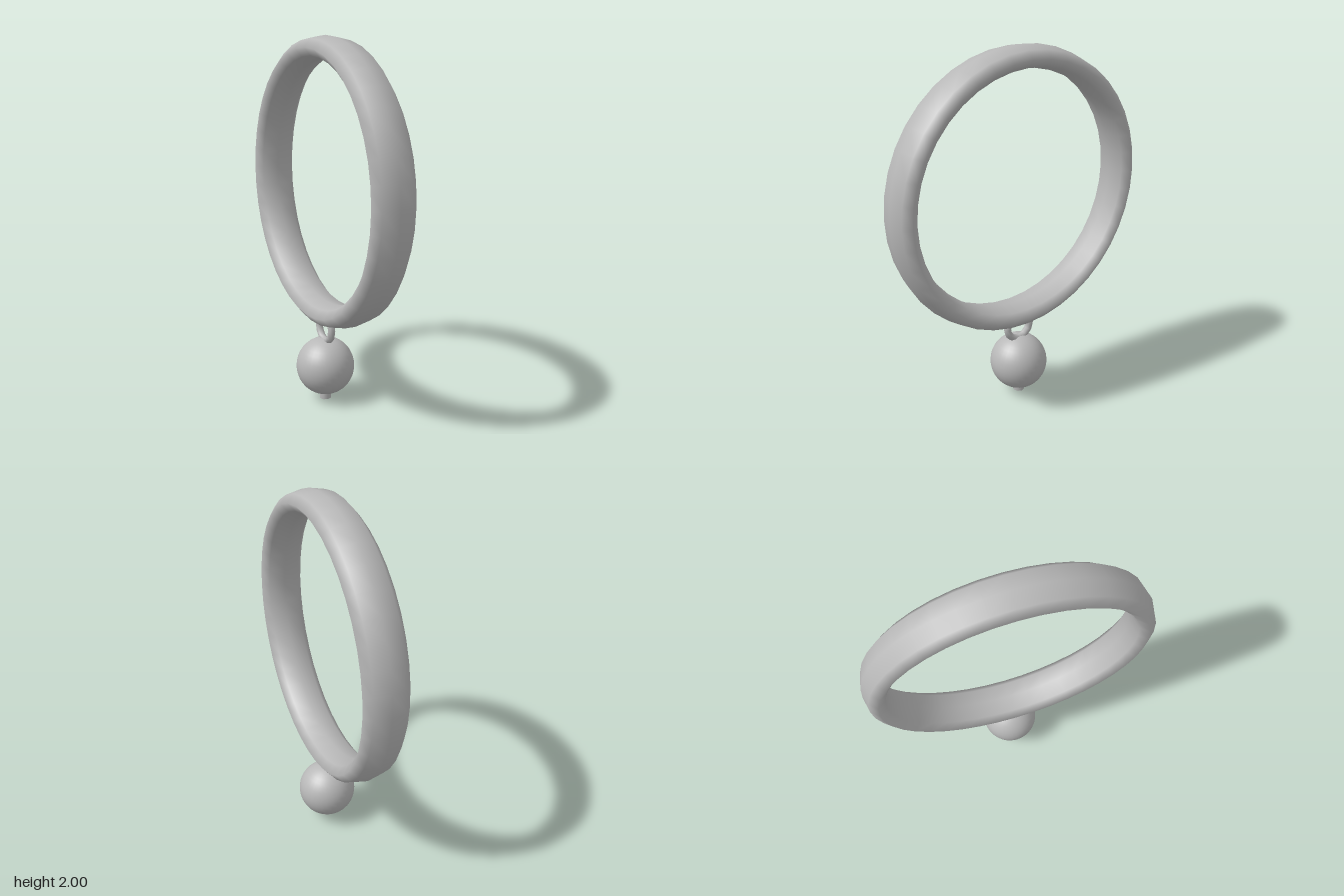
import * as THREE from 'three';

export function createModel() {
  const model = new THREE.Group();
  const metal = new THREE.MeshStandardMaterial({ color: 0xb8b8b8 });
  metal.name = 'grey metal';

  const add = (name, geometry, y) => {
    const mesh = new THREE.Mesh(geometry, metal);
    mesh.name = name;
    mesh.position.y = y;
    model.add(mesh);
  };

  // Wide band: a torus stretched along its axis, which lies along x
  const band = new THREE.TorusGeometry(0.712, 0.061, 8, 40);
  band.scale(1, 1, 1.97).rotateY(Math.PI / 2);
  add('band', band, 1.227);

  // Small link through the underside of the band
  add('link', new THREE.TorusGeometry(0.078, 0.021, 8, 12).rotateY(Math.PI / 2), 0.42);

  // Hanging bead with the end of its pin below
  add('bead', new THREE.SphereGeometry(0.162, 32, 20), 0.195);
  add('pin', new THREE.CylinderGeometry(0.033, 0.033, 0.08, 8), 0.04);

  return model;
}
